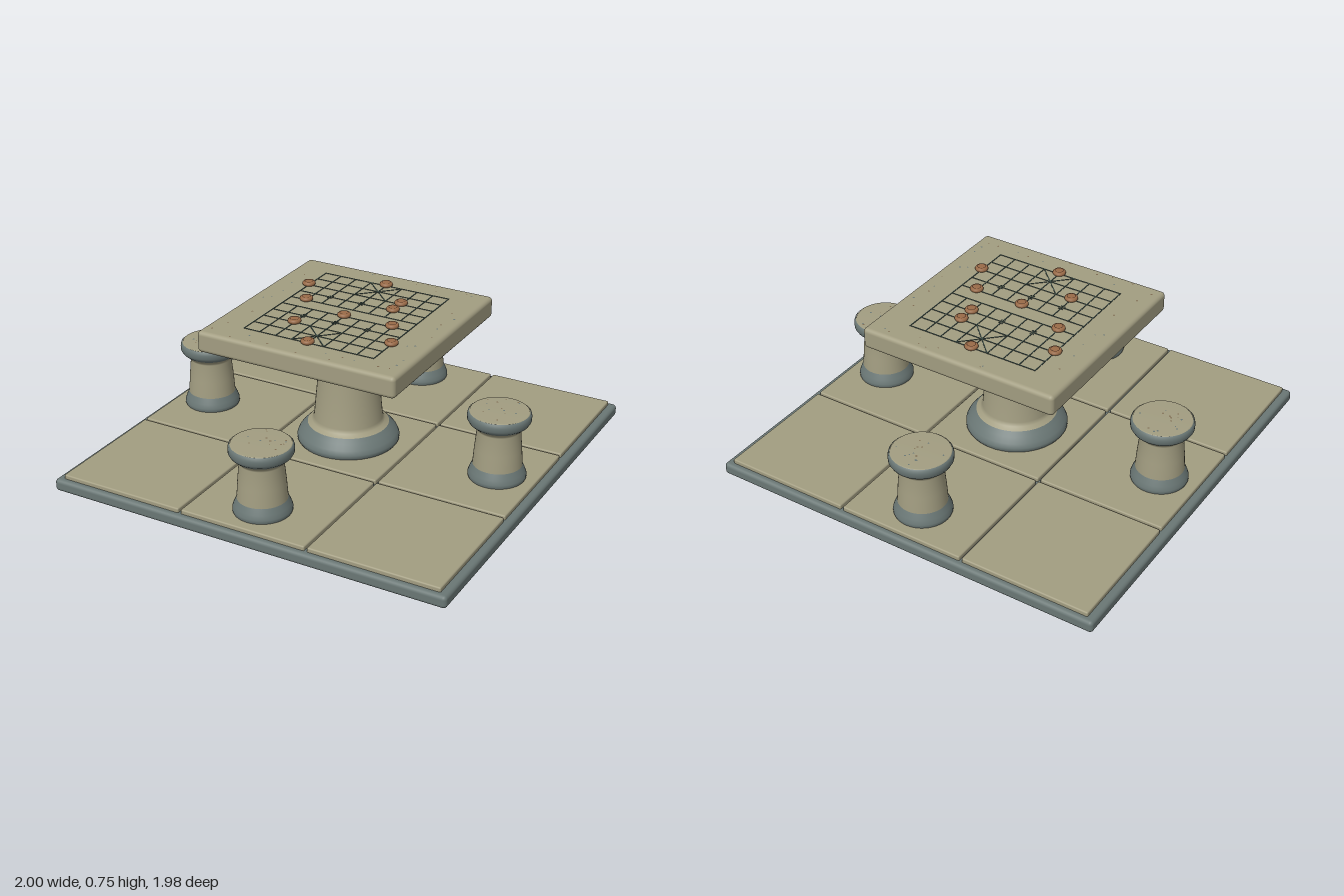
import * as THREE from 'three';
import { RoundedBoxGeometry } from 'three/addons/geometries/RoundedBoxGeometry.js';

const mat = (name, color) => {
  const m = new THREE.MeshStandardMaterial({ color });
  m.name = name;
  return m;
};

export function createModel() {
  const stone = mat('sandstone', 0xa29d81);
  const slate = mat('slate', 0x6a7775);
  const ink = mat('engraved line', 0x36453f);
  const wood = mat('wood', 0x9a6b48);
  const darkWood = mat('dark wood', 0x4d3222);
  const rust = mat('rust fleck', 0x7d6a50);

  const add = (parent, name, geo, material, x = 0, y = 0, z = 0) => {
    const mesh = new THREE.Mesh(geo, material);
    mesh.name = name;
    mesh.position.set(x, y, z);
    parent.add(mesh);
    return mesh;
  };
  const group = (parent, name) => {
    const g = new THREE.Group();
    g.name = name;
    parent.add(g);
    return g;
  };
  const slab = (w, h, d, r) => new RoundedBoxGeometry(w, h, d, 3, r);
  const lathe = (pts) => new THREE.LatheGeometry(pts.map(([r, y]) => new THREE.Vector2(r, y)), 48);

  let seed = 7;
  const rand = () => (seed = (seed * 16807) % 2147483647) / 2147483647;
  const fleckGeo = new THREE.CircleGeometry(1, 6).rotateX(-Math.PI / 2);
  const fleck = (parent, x, y, z) => {
    const m = add(parent, 'fleck', fleckGeo, rand() < 0.6 ? rust : slate, x, y, z);
    m.scale.setScalar(0.003 + rand() * 0.003);
  };

  const root = new THREE.Group();
  root.name = 'stoneGameTable';

  // Paved ground: dark slab carrying nine tiles
  add(root, 'baseSlab', slab(2, 0.06, 1.98, 0.018), slate, 0, 0.03, 0);
  const tileGeo = slab(0.633, 0.03, 0.633, 0.007);
  const tiles = group(root, 'pavingTiles');
  for (let i = -1; i <= 1; i++)
    for (let j = -1; j <= 1; j++) add(tiles, 'tile', tileGeo, stone, i * 0.646, 0.066, j * 0.646);

  // Table: flared collar, waisted column, under plate and thick top
  const table = group(root, 'table');
  add(table, 'pedestalCollar', lathe([
    [0.235, 0.075], [0.245, 0.09], [0.245, 0.105], [0.236, 0.125], [0.215, 0.15], [0.195, 0.17],
  ]), slate);
  add(table, 'pedestalColumn', lathe([
    [0.195, 0.17], [0.175, 0.183], [0.165, 0.2], [0.15, 0.36], [0.135, 0.52], [0.14, 0.545],
    [0.16, 0.575], [0.182, 0.598], [0.182, 0.61],
  ]), stone);
  add(table, 'underPlate', slab(0.87, 0.03, 0.88, 0.01), slate, 0, 0.619, 0);
  add(table, 'tableTop', slab(1.01, 0.104, 1.02, 0.02), stone, 0, 0.674, 0);
  for (let n = 0; n < 36; n++) {
    const along = (rand() * 2 - 1) * 0.46;
    const edge = (rand() < 0.5 ? -1 : 1) * (0.4 + rand() * 0.06);
    if (n % 2) fleck(table, edge, 0.7268, along);
    else fleck(table, along, 0.7268, Math.sign(edge) * (0.03 + Math.abs(edge)));
  }

  // Board: nine by ten lines, open across the middle
  const board = group(root, 'gameBoard');
  const step = 0.0834;
  const line = (x1, z1, x2, z2, w = 0.005) => {
    const m = add(board, 'boardLine', new THREE.BoxGeometry(Math.hypot(x2 - x1, z2 - z1) + w, 0.003, w),
      ink, (x1 + x2) / 2, 0.7265, (z1 + z2) / 2);
    m.rotation.y = -Math.atan2(z2 - z1, x2 - x1);
  };
  for (let r = 0; r < 10; r++) line(-4 * step, (r - 4.5) * step, 4 * step, (r - 4.5) * step);
  for (let c = -4; c <= 4; c++) {
    if (Math.abs(c) === 4) line(c * step, -4.5 * step, c * step, 4.5 * step);
    else for (const s of [-1, 1]) line(c * step, s * 4.5 * step, c * step, s * 0.5 * step);
  }
  const dotGeo = new THREE.BoxGeometry(0.006, 0.003, 0.006);
  for (const s of [-1, 1]) {
    line(-step, s * 4.5 * step, step, s * 2.5 * step);
    line(step, s * 4.5 * step, -step, s * 2.5 * step);
    for (const c of [-2, 0, 2])
      for (const dx of [-1, 1])
        for (const dz of [-1, 1])
          add(board, 'pointMark', dotGeo, ink, c * step + dx * 0.008, 0.7265, s * 1.5 * step + dz * 0.012);
  }

  // Playing pieces: rounded discs with a dark inlaid ring, placed in grid steps
  const pieces = group(root, 'playingPieces');
  const pieceGeo = lathe([[0.025, 0], [0.03, 0.004], [0.032, 0.01], [0.03, 0.016], [0.026, 0.02], [0, 0.02]]);
  const ringGeo = new THREE.RingGeometry(0.018, 0.0215, 32).rotateX(-Math.PI / 2);
  const spots = [[0, -4.5], [-4, -2.5], [2, -2.5], [2, -1.5], [-3, -0.5], [0, 0.5], [3, 0.5], [-2, 2.5], [4, 2.5], [0, 4.5]];
  for (const [c, r] of spots) {
    const p = group(pieces, 'piece');
    p.position.set(c * step, 0.726, r * step);
    add(p, 'pieceBody', pieceGeo, wood);
    add(p, 'pieceRing', ringGeo, darkWood, 0, 0.0208, 0);
  }

  // Four stools around the table
  const collarGeo = lathe([[0.13, 0.075], [0.135, 0.088], [0.135, 0.1], [0.128, 0.12], [0.115, 0.148]]);
  const stemGeo = lathe([[0.115, 0.148], [0.109, 0.23], [0.1, 0.322], [0.108, 0.335], [0.124, 0.35]]);
  const rimGeo = lathe([
    [0.124, 0.35], [0.138, 0.362], [0.146, 0.376], [0.147, 0.395], [0.144, 0.408], [0.138, 0.413],
  ]);
  const seatGeo = lathe([[0.138, 0.411], [0.134, 0.416], [0, 0.416]]);
  for (const [x, z] of [[0.78, 0], [-0.78, 0], [0, 0.78], [0, -0.78]]) {
    const stool = group(root, 'stool');
    stool.position.set(x, 0, z);
    add(stool, 'stoolCollar', collarGeo, slate);
    add(stool, 'stoolStem', stemGeo, stone);
    add(stool, 'seatRim', rimGeo, slate);
    add(stool, 'seatTop', seatGeo, stone);
    for (let n = 0; n < 14; n++) {
      const a = rand() * Math.PI * 2, r = Math.sqrt(rand()) * 0.12;
      fleck(stool, Math.cos(a) * r, 0.4168, Math.sin(a) * r);
    }
  }
  return root;
}
